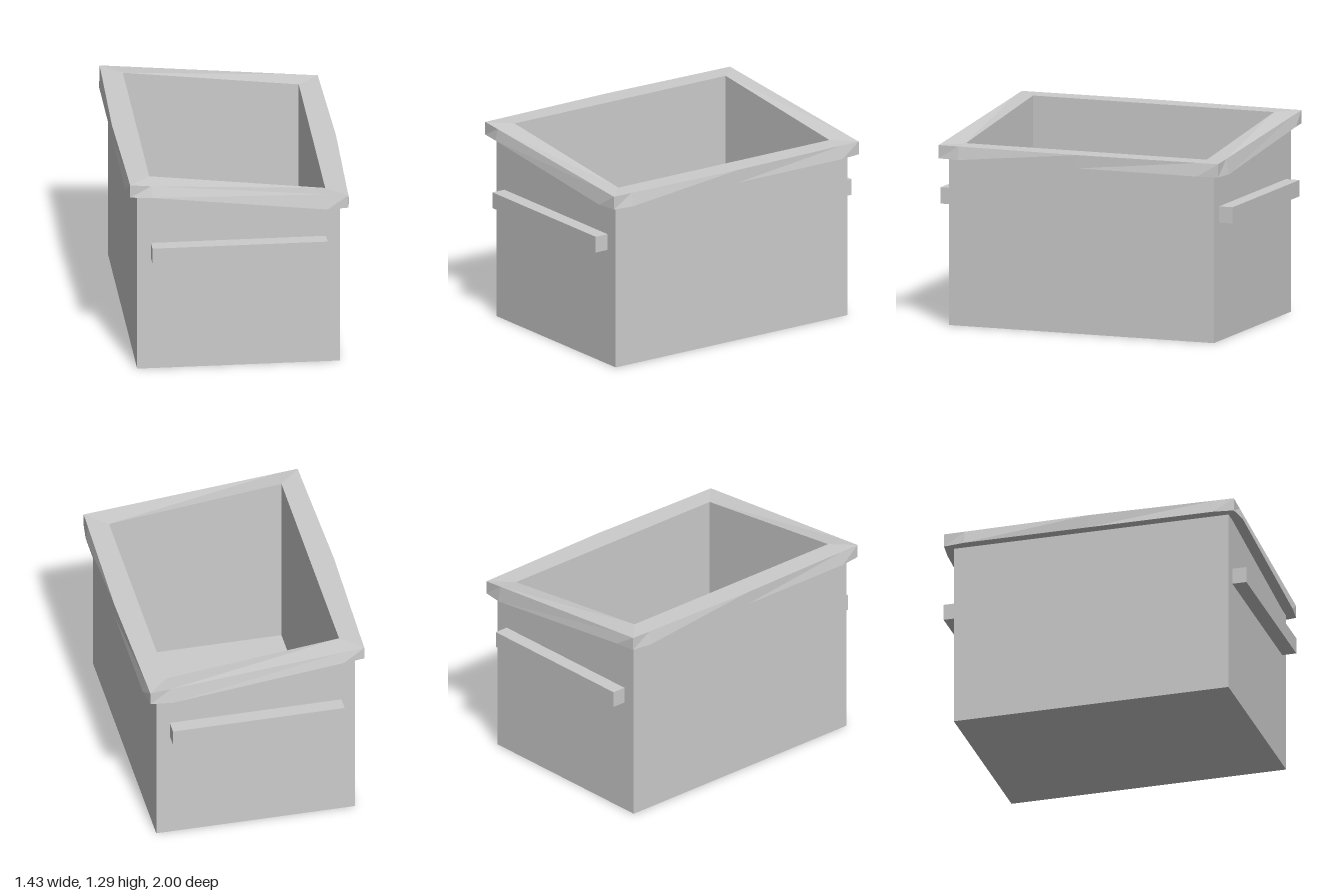
import * as THREE from 'three';

const IN_X = 0.56, IN_Z = 0.825;   // opening half sizes

// Height that slopes down towards +x and is level beyond |x| = run
const slope = (mid, run) => x => mid - 0.065 * THREE.MathUtils.clamp(x / run, -1, 1);
const level = y => () => y;

// Horizontal loop: corners (cx, cz), long-side offsets xs and xm, short-side offset zs
function ring(height, cx, cz, xs = cx, xm = xs, zs = cz) {
  const half = [[xs, IN_Z - 0.005], [cx, cz], [IN_X, zs], [-IN_X, zs], [-cx, cz], [-xs, IN_Z - 0.005], [-xm, 0]];
  const loop = [...half, ...half.map(([x, z]) => [-x, -z])];
  return loop.map(([x, z]) => [x, height(x), z]);
}

// All points gathered at the centre, to close a loop with a flat cap
const centre = (y, loop) => loop.map(() => [0, y, 0]);

// Skin a list of loops in order
function loft(rings) {
  const pos = [];
  for (let r = 0; r < rings.length - 1; r++) {
    const a = rings[r], b = rings[r + 1];
    for (let i = 0; i < a.length; i++) {
      const j = (i + 1) % a.length;
      pos.push(...a[j], ...a[i], ...b[i], ...a[j], ...b[i], ...b[j]);
    }
  }
  const geo = new THREE.BufferGeometry();
  geo.setAttribute('position', new THREE.Float32BufferAttribute(pos, 3));
  geo.computeVertexNormals();
  return geo;
}

export function createModel() {
  const group = new THREE.Group();
  const material = new THREE.MeshStandardMaterial({ color: 0xcccccc, flatShading: true, side: THREE.DoubleSide });
  const add = (name, geo) => {
    const mesh = new THREE.Mesh(geo, material);
    mesh.name = name;
    group.add(mesh);
    return mesh;
  };

  const under = slope(1.14, IN_X);
  const base = ring(level(0), 0.645, 0.907);
  const wallTop = ring(under, 0.645, 0.907);
  const mouth = ring(slope(1.225, IN_X), IN_X, IN_Z);
  const floor = ring(level(0.085), IN_X, IN_Z);

  // Outer walls with the underside, and the hollow inside with its floor
  add('body', loft([centre(0, base), base, wallTop]));
  add('interior', loft([mouth, floor, centre(0.085, floor)]));

  // Sloping rim: underside, outer edge flaring at the bottom, top face
  add('rim', loft([
    wallTop,
    ring(under, 0.695, 0.957, 0.713, 0.713, 0.975),
    ring(slope(1.225, 0.695), 0.695, 0.957, 0.697, 0.713, 0.957),
    mouth,
  ]));

  // Bar handles on the front and back
  for (const [name, s] of [['frontHandle', 1], ['backHandle', -1]]) {
    add(name, new THREE.BoxGeometry(1.115, 0.105, 0.095)).position.set(0, 0.8125, s * 0.9525);
  }
  return group;
}
